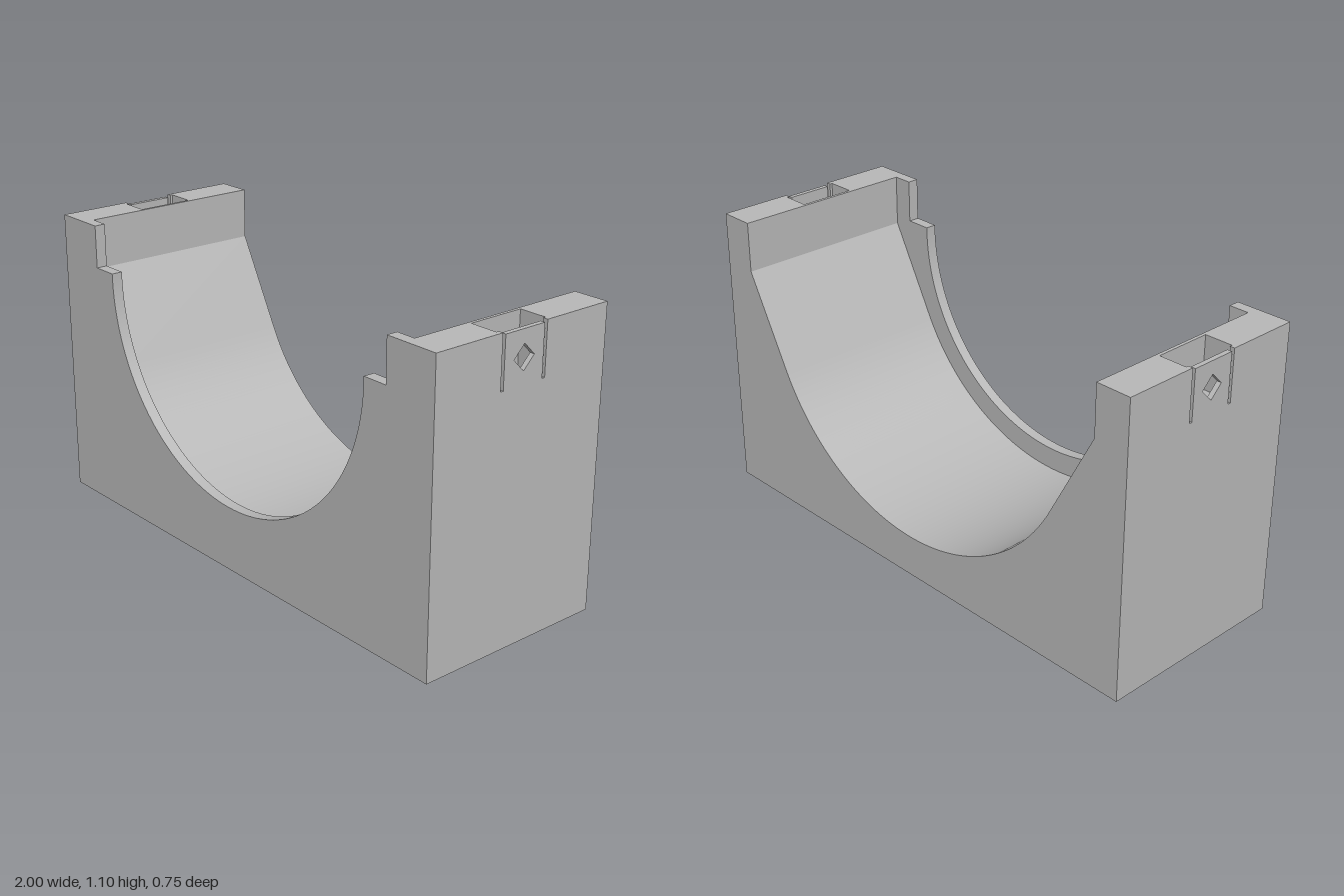
import * as THREE from 'three';
import { toCreasedNormals } from 'three/addons/utils/BufferGeometryUtils.js';

const BACK = -0.375, STEP = 0.333, FRONT = 0.375;
const TOP = 1.1, SHELF = 0.91, CENTRE_Y = 0.935;
const WALL = 0.865;

export function createModel() {
  const group = new THREE.Group();
  group.name = 'cradle';
  const grey = new THREE.MeshStandardMaterial({ color: 0xb8b8b8 });
  grey.name = 'grey plastic';

  const outline = (points) => new THREE.Shape(points.map(([x, y]) => new THREE.Vector2(x, y)));
  const extrude = (shape, depth) => new THREE.ExtrudeGeometry(shape, { depth, bevelEnabled: false, curveSegments: 64 });
  const add = (name, geometry) => {
    const mesh = new THREE.Mesh(toCreasedNormals(geometry, 0.4), grey);
    mesh.name = name;
    group.add(mesh);
  };
  // Symmetric block with a round hollow: points run from the outer top right to the hollow
  const cradleShape = (side, radius, angle) => {
    const shape = new THREE.Shape();
    shape.moveTo(-1, 0);
    shape.lineTo(1, 0);
    side.forEach(([x, y]) => shape.lineTo(x, y));
    shape.absarc(0, CENTRE_Y, radius, -angle, Math.PI + angle, true);
    [...side].reverse().forEach(([x, y]) => shape.lineTo(-x, y));
    shape.closePath();
    return shape;
  };

  // Main body: round channel with tangent slopes up to the arms
  const radius = 0.775;
  const drop = CENTRE_Y - SHELF;
  const tangent = Math.atan2(drop, WALL) + Math.acos(radius / Math.hypot(WALL, drop));
  const body = extrude(cradleShape([[1, SHELF], [WALL, SHELF]], radius, tangent), STEP - BACK);
  body.translate(0, 0, BACK);
  add('body', body);

  // Front lip: smaller radius with stepped shoulders
  const lip = extrude(
    cradleShape([[1, TOP], [0.79, TOP], [0.79, 0.94], [0.69, 0.94]], 0.69, 0), FRONT - STEP);
  lip.translate(0, 0, STEP);
  add('frontLip', lip);

  for (const s of [1, -1]) {
    const side = s > 0 ? 'left' : 'right';

    // Arm top with an open pocket, drawn in plan as (x, -z)
    const arm = extrude(outline([
      [WALL, -BACK], [1, -BACK], [1, 0.098], [0.982, 0.098], [0.982, 0.108], [0.877, 0.108],
      [0.877, -0.108], [0.982, -0.108], [0.982, -0.098], [1, -0.098], [1, -STEP], [WALL, -STEP],
    ].map(([x, y]) => [s * x, y])), TOP - SHELF);
    arm.rotateX(-Math.PI / 2);
    arm.translate(0, SHELF, 0);
    add(side + 'Arm', arm);

    // Spring tab between two slits, with a diamond window
    const plate = outline([[-0.086, SHELF], [0.086, SHELF], [0.086, 1.093], [-0.086, 1.093]]);
    plate.holes.push(outline([[0, 0.955], [-0.045, 1], [0, 1.045], [0.045, 1]]));
    const tab = extrude(plate, 0.018);
    tab.rotateY(Math.PI / 2);
    tab.translate(s > 0 ? 0.982 : -1, 0, 0);
    add(side + 'Tab', tab);
  }
  return group;
}
